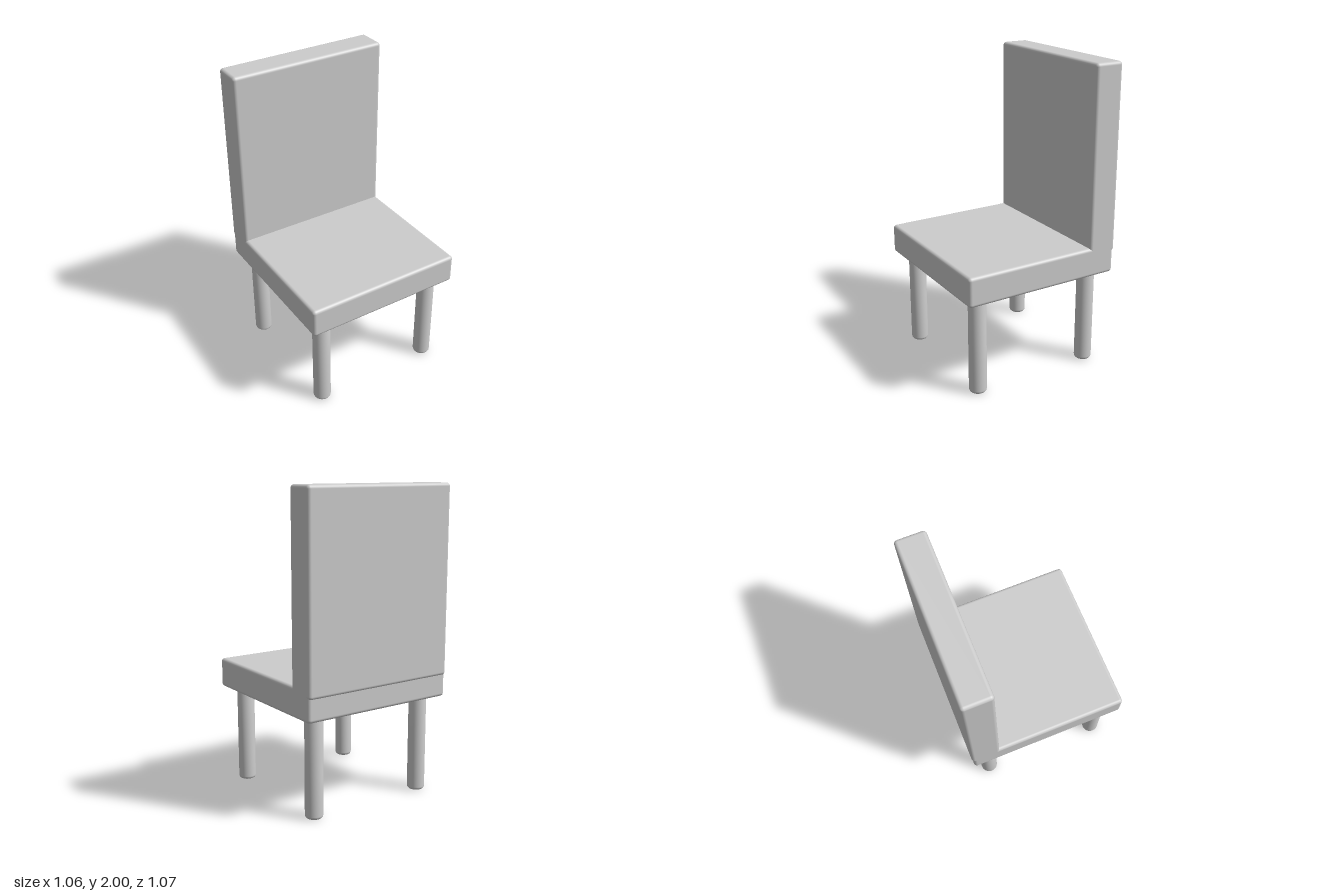
import * as THREE from 'three';
import { RoundedBoxGeometry } from 'three/addons/geometries/RoundedBoxGeometry.js';

const LEG_RADIUS = 0.057;
const LEG_TOP = 0.66;
const BEVEL = 0.022;

// Leg profile: flat foot, rounded lower edge, straight shaft up into the seat
function legGeometry() {
  const profile = [new THREE.Vector2(0, 0)];
  for (let i = 0; i <= 5; i++) {
    const a = (i / 5) * Math.PI / 2;
    profile.push(new THREE.Vector2(
      LEG_RADIUS - BEVEL + BEVEL * Math.sin(a),
      BEVEL - BEVEL * Math.cos(a)
    ));
  }
  profile.push(new THREE.Vector2(LEG_RADIUS, LEG_TOP), new THREE.Vector2(0, LEG_TOP));
  return new THREE.LatheGeometry(profile, 32);
}

export function createModel() {
  const chair = new THREE.Group();
  chair.name = 'chair';

  const grey = new THREE.MeshStandardMaterial({ color: 0xcccccc });
  grey.name = 'light grey';

  // Rounded slab given by its y and z extents
  const slab = (name, y0, y1, z0, z1) => {
    const geometry = new RoundedBoxGeometry(1.056, y1 - y0, z1 - z0, 4, BEVEL);
    const mesh = new THREE.Mesh(geometry, grey);
    mesh.name = name;
    mesh.position.set(0, (y0 + y1) / 2, (z0 + z1) / 2);
    chair.add(mesh);
  };
  slab('seat', 0.643, 0.836, -0.524, 0.533);
  slab('backrest', 0.785, 2, -0.533, -0.341);

  // Four legs
  const leg = legGeometry();
  for (const [end, z] of [['front', 0.415], ['back', -0.4]]) {
    for (const [side, x] of [['Left', 0.408], ['Right', -0.408]]) {
      const mesh = new THREE.Mesh(leg, grey);
      mesh.name = `${end}${side}Leg`;
      mesh.position.set(x, 0, z);
      chair.add(mesh);
    }
  }
  return chair;
}
